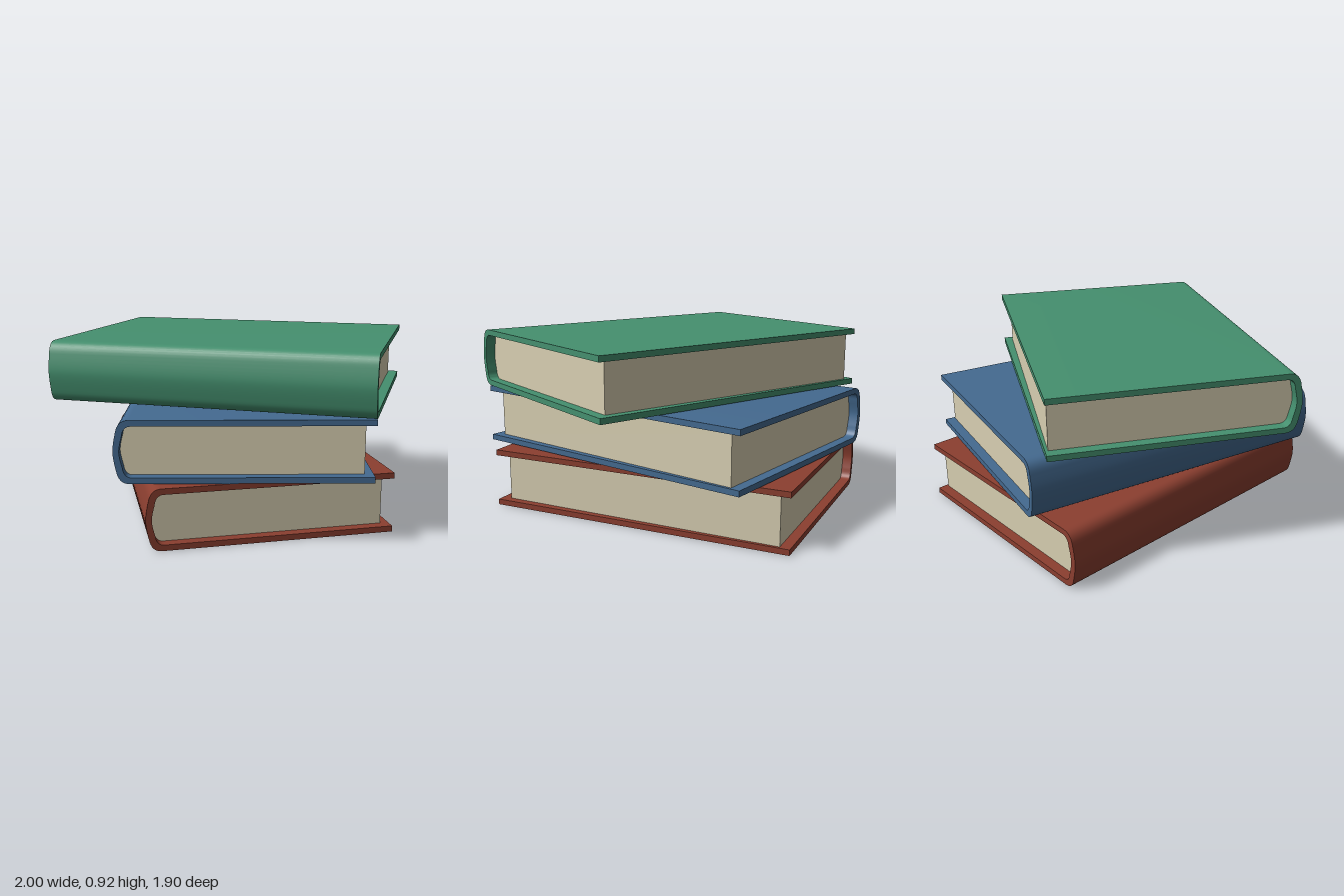
import * as THREE from 'three';
import { toCreasedNormals } from 'three/addons/utils/BufferGeometryUtils.js';

const WIDTH = 1.215, LENGTH = 1.62, HEIGHT = 0.303, BOARD = 0.029, PITCH = 0.307;
const FORE = WIDTH / 2, SPINE = -WIDTH / 2;

// Rounded spine curve, running from the top board round to the bottom board.
function spinePoints(inset) {
  const x = SPINE + inset, top = HEIGHT - inset, mid = HEIGHT / 2, h = top - mid;
  const r = 0.075 - inset * 0.6;
  const upper = [
    ...new THREE.QuadraticBezierCurve(
      new THREE.Vector2(x + r, top),
      new THREE.Vector2(x + r * 0.33, top),
      new THREE.Vector2(x + 0.014, mid + h * 0.6)).getPoints(8),
    ...new THREE.QuadraticBezierCurve(
      new THREE.Vector2(x + 0.014, mid + h * 0.6),
      new THREE.Vector2(x, mid + h * 0.2),
      new THREE.Vector2(x, mid)).getPoints(6).slice(1),
  ];
  const lower = upper.slice(0, -1).reverse().map(p => new THREE.Vector2(p.x, HEIGHT - p.y));
  return [...upper, ...lower];
}

function extrudeAlongBook(points, length) {
  const geometry = new THREE.ExtrudeGeometry(new THREE.Shape(points),
    { depth: length, bevelEnabled: false });
  return geometry.translate(0, 0, -length / 2);
}

// C-shaped case: both boards and the spine in one wrap.
function coverGeometry() {
  const outer = spinePoints(0), inner = spinePoints(BOARD).reverse();
  const points = [
    new THREE.Vector2(FORE, HEIGHT), ...outer, new THREE.Vector2(FORE, 0),
    new THREE.Vector2(FORE, BOARD), ...inner, new THREE.Vector2(FORE, HEIGHT - BOARD),
  ];
  return toCreasedNormals(extrudeAlongBook(points, LENGTH), 0.6);
}

// Page block with a slightly slanted fore edge.
function pagesGeometry() {
  const x = FORE - 0.0285;
  const points = [
    new THREE.Vector2(x, HEIGHT - BOARD), ...spinePoints(BOARD), new THREE.Vector2(x, BOARD),
  ];
  const geometry = extrudeAlongBook(points, LENGTH - 0.103);
  const pos = geometry.attributes.position;
  for (let i = 0; i < pos.count; i++) {
    if (pos.getX(i) > 0) pos.setX(i, pos.getX(i) - 0.019 * pos.getZ(i));
  }
  return toCreasedNormals(geometry, 0.6);
}

function makeMaterial(name, color) {
  const material = new THREE.MeshStandardMaterial({ color });
  material.name = name;
  return material;
}

export function createModel() {
  const model = new THREE.Group();
  model.name = 'bookStack';

  const cover = coverGeometry(), pages = pagesGeometry();
  const paper = makeMaterial('cream paper', 0xd8cfb2);

  // Bottom to top: name, cover material, centre x and z, turn in degrees
  const books = [
    ['bottomBook', makeMaterial('red cloth', 0x8c3f30), 0.0125, -0.0725, 0],
    ['middleBook', makeMaterial('blue cloth', 0x446a90), 0.035, -0.035, -12],
    ['topBook', makeMaterial('green cloth', 0x45906f), 0, 0.025, 62],
  ];

  books.forEach(([name, cloth, x, z, turn], i) => {
    const book = new THREE.Group();
    book.name = name;
    const coverMesh = new THREE.Mesh(cover, cloth);
    coverMesh.name = 'cover';
    const pagesMesh = new THREE.Mesh(pages, paper);
    pagesMesh.name = 'pages';
    book.add(coverMesh, pagesMesh);
    book.position.set(x, i * PITCH, z);
    book.rotation.y = THREE.MathUtils.degToRad(turn);
    model.add(book);
  });

  return model;
}
